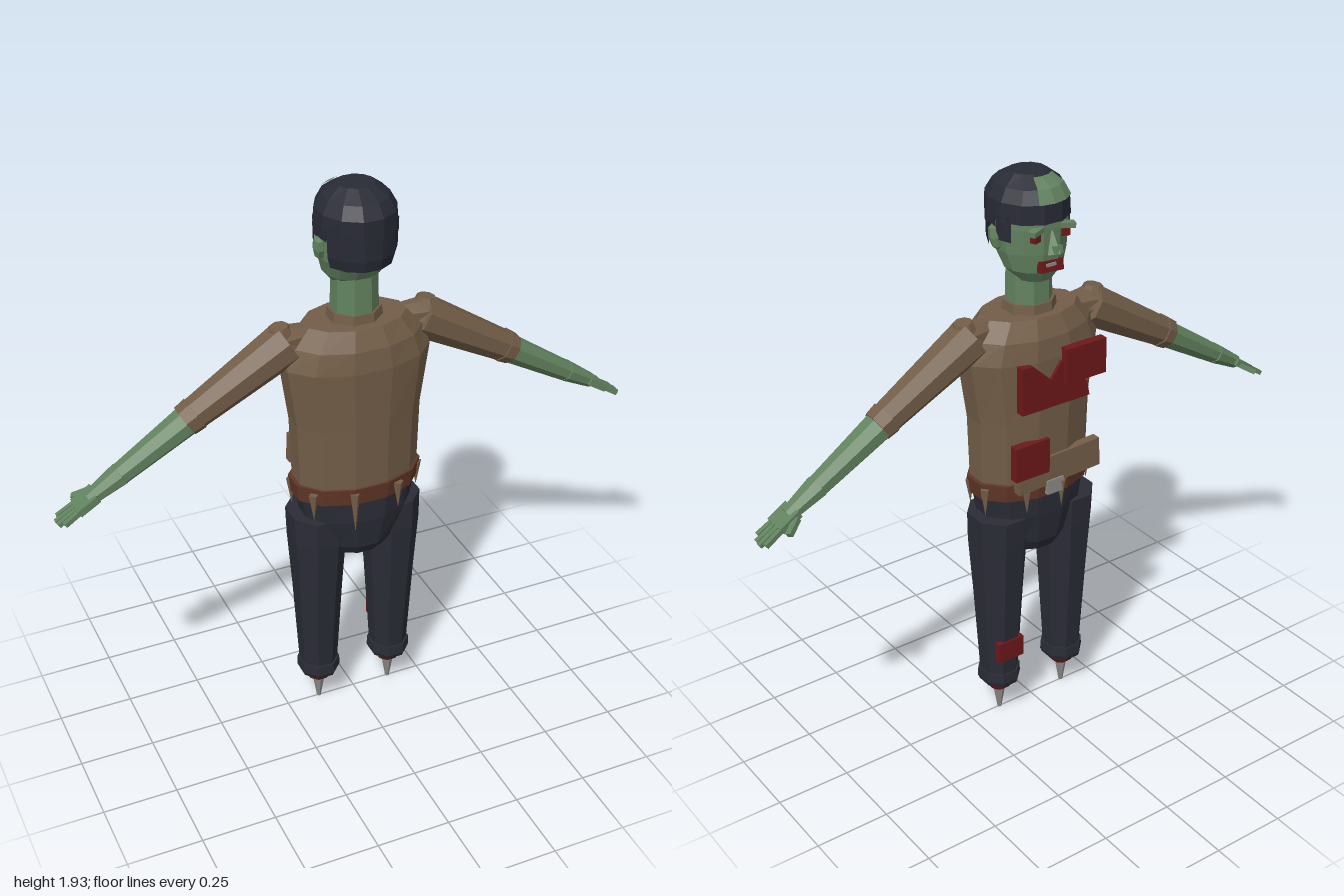
import * as THREE from 'three';

const mat = (name, color, side = THREE.FrontSide) => {
  const m = new THREE.MeshStandardMaterial({ color, side });
  m.name = name;
  return m;
};

export function createModel() {
  const skin = mat('greenSkin', 0x62825f);
  const shirt = mat('brownShirt', 0x725d47);
  const belt = mat('rustBelt', 0x603626);
  const navy = mat('navyTrousers', 0x2a2c36);
  const hairMat = mat('darkHair', 0x282a35, THREE.DoubleSide);
  const red = mat('bloodRed', 0x6c181a);
  const bone = mat('boneGrey', 0x8c8a86);

  const root = new THREE.Group();
  root.name = 'figure';

  // Adds a faceted mesh
  function add(name, geo, material, pos = [0, 0, 0], rot = [0, 0, 0], parent = root) {
    const g = geo.index ? geo.toNonIndexed() : geo;
    g.computeVertexNormals();
    const mesh = new THREE.Mesh(g, material);
    mesh.name = name;
    mesh.position.set(...pos);
    mesh.rotation.set(...rot);
    parent.add(mesh);
    return mesh;
  }
  const box = (w, h, d) => new THREE.BoxGeometry(w, h, d);

  // Skin over elliptical rings [y, halfWidth, zBack, zFront]; angle 0 is +z, PI is -z
  function loft(rings, n = 12, a0 = null, a1 = null) {
    const full = a0 === null;
    const start = full ? Math.PI / n : a0;
    const step = full ? (2 * Math.PI) / n : (a1 - a0) / n;
    const grow = 1 / Math.cos(step / 2);
    const pos = [], idx = [], w = n + 1;
    for (const [y, hw, zb, zf] of rings) {
      for (let i = 0; i <= n; i++) {
        const a = start + i * step;
        pos.push(Math.sin(a) * hw * grow, y, (zb + zf) / 2 + Math.cos(a) * (zb - zf) / 2 * grow);
      }
    }
    for (let r = 0; r < rings.length - 1; r++) {
      for (let i = 0; i < n; i++) {
        const a = r * w + i, b = a + w;
        idx.push(a, a + 1, b + 1, a, b + 1, b);
      }
    }
    if (full) {
      const top = (rings.length - 1) * w;
      for (let i = 1; i < n - 1; i++) idx.push(0, i + 1, i, top, top + i, top + i + 1);
    }
    const g = new THREE.BufferGeometry();
    g.setAttribute('position', new THREE.Float32BufferAttribute(pos, 3));
    g.setIndex(idx);
    return g;
  }

  // Tapered eight-sided limb between two points in the xy plane
  function limb(name, p, q, r0, r1, material, depth = 0.85) {
    const dx = q[0] - p[0], dy = q[1] - p[1];
    const g = new THREE.CylinderGeometry(r1, r0, Math.hypot(dx, dy), 8);
    g.rotateY(Math.PI / 8);
    g.scale(1, 1, depth);
    return add(name, g, material, [(p[0] + q[0]) / 2, (p[1] + q[1]) / 2, 0.004],
      [0, 0, Math.atan2(dy, dx) - Math.PI / 2]);
  }

  // Torso, collar, belt and hips
  add('torso', loft([
    [0.9, 0.203, 0.138, -0.118], [0.94, 0.207, 0.145, -0.122], [1.15, 0.213, 0.15, -0.128],
    [1.36, 0.243, 0.155, -0.13], [1.43, 0.215, 0.145, -0.122], [1.49, 0.165, 0.115, -0.095],
  ]), shirt);
  add('collar', loft([[1.48, 0.085, 0.085, -0.07], [1.52, 0.08, 0.08, -0.065]], 8), shirt);
  add('belt', loft([[0.875, 0.212, 0.142, -0.125], [0.935, 0.219, 0.148, -0.13]]), belt);
  add('hips', loft([
    [0.65, 0.1, 0.1, -0.08], [0.69, 0.127, 0.125, -0.1],
    [0.8, 0.185, 0.138, -0.115], [0.89, 0.203, 0.138, -0.118],
  ]), navy);

  // Torn shirt strips hanging below the belt: [x, z, tip height]
  for (const [x, z, tip] of [[-0.18, 0.095, 0.82], [-0.055, 0.142, 0.77], [0.1, 0.135, 0.82],
    [0.207, 0.046, 0.83], [0.207, -0.04, 0.82], [0.1, -0.12, 0.83], [-0.03, -0.13, 0.82],
    [-0.207, -0.03, 0.82]]) {
    const h = 0.92 - tip;
    add('shirtTatter', new THREE.ConeGeometry(0.018, h, 4), shirt, [x, tip + h / 2, z], [Math.PI, 0, 0]);
  }

  for (const s of [1, -1]) {
    const side = s > 0 ? 'left' : 'right';

    // Leg, trouser cuff, stump and bone spike
    const x = 0.133 * s;
    add(side + 'Leg', loft([
      [0.17, 0.06, 0.062, -0.062], [0.5, 0.077, 0.085, -0.085], [0.7, 0.09, 0.1, -0.1],
      [0.8, 0.092, 0.1, -0.105],
    ], 8), navy, [x, 0, 0]);
    add(side + 'TrouserCuff', loft([[0.13, 0.062, 0.066, -0.066], [0.145, 0.068, 0.072, -0.07],
      [0.18, 0.066, 0.07, -0.068]], 8), navy, [x, 0, 0]);
    add(side + 'Stump', loft([[0.085, 0.022, 0.022, -0.022], [0.1, 0.038, 0.038, -0.038],
      [0.115, 0.045, 0.045, -0.045], [0.135, 0.055, 0.055, -0.055]], 8), red, [x, 0, 0]);
    add(side + 'LegBone', new THREE.CylinderGeometry(0.023, 0.007, 0.1, 6), bone, [x, 0.05, 0]);

    // Shoulder, sleeve, forearm
    add(side + 'Shoulder', new THREE.CylinderGeometry(0.03, 0.055, 0.07, 8), shirt, [0.245 * s, 1.465, 0.004], [0, 0, -0.15 * s]);
    limb(side + 'ShoulderYoke', [0.14 * s, 1.45], [0.27 * s, 1.44], 0.04, 0.06, shirt);
    limb(side + 'Sleeve', [0.225 * s, 1.44], [0.555 * s, 1.247], 0.073, 0.052, shirt, 0.95);
    limb(side + 'SleeveCuff', [0.53 * s, 1.262], [0.565 * s, 1.241], 0.057, 0.053, shirt, 1);
    limb(side + 'Forearm', [0.555 * s, 1.245], [0.8 * s, 1.095], 0.048, 0.034, skin, 1.1);
    limb(side + 'Wrist', [0.78 * s, 1.108], [0.885 * s, 1.045], 0.036, 0.024, skin, 1.25);

    // Hand with four fingers and a thumb
    const hand = new THREE.Group();
    hand.name = side + 'Hand';
    hand.position.set(0.87 * s, 1.055, 0);
    hand.rotation.z = -0.55 * s;
    root.add(hand);
    add('palm', box(0.075, 0.024, 0.08), skin, [0.03 * s, 0, 0.003], [0, 0, 0], hand);
    for (let i = 0; i < 4; i++) {
      const len = [0.068, 0.08, 0.077, 0.06][i];
      add('finger', box(len, 0.015, 0.016), skin, [(0.063 + len / 2) * s, -0.001, -0.027 + i * 0.02],
        [0, s * (0.06 - i * 0.04), 0], hand);
    }
    add('thumb', box(0.06, 0.017, 0.02), skin, [0.035 * s, -0.004, -0.05], [0, 0.5 * s, 0], hand);

    // Ear, eye and brow
    const ear = new THREE.SphereGeometry(1, 6, 4);
    ear.scale(0.018, 0.042, 0.028);
    add(side + 'Ear', ear, skin, [0.12 * s, 1.742, 0.015], [0.2, 0, -0.1 * s]);
    add(side + 'Eye', box(0.038, 0.022, 0.02), red, [0.05 * s, 1.757, -0.1], [0, 0.35 * s, 0]);
    add(side + 'Brow', box(0.062, 0.016, 0.028), skin, [0.052 * s, 1.782, -0.105], [0, 0.35 * s, -0.1 * s]);
  }

  // Neck, head and face
  add('neck', loft([[1.47, 0.072, 0.077, -0.06], [1.64, 0.068, 0.074, -0.056]], 8), skin);
  add('head', loft([
    [1.6, 0.055, 0.035, -0.075], [1.64, 0.09, 0.075, -0.1], [1.7, 0.108, 0.115, -0.108],
    [1.78, 0.115, 0.125, -0.112], [1.86, 0.11, 0.125, -0.108], [1.91, 0.06, 0.07, -0.05],
  ]), skin);
  const nose = new THREE.ConeGeometry(0.028, 0.08, 4);
  add('nose', nose, skin, [0, 1.745, -0.118], [0.25, 0, 0]);
  add('noseTip', box(0.028, 0.024, 0.045), skin, [0, 1.72, -0.125], [0.2, 0, 0]);
  add('mouth', box(0.085, 0.035, 0.02), red, [0, 1.66, -0.103], [0.15, 0, 0.06]);
  add('teeth', box(0.035, 0.01, 0.008), bone, [0.005, 1.667, -0.112]);

  // Hair cap, with back, sides and sideburns reaching lower
  add('hairCap', loft([
    [1.8, 0.125, 0.15, -0.118], [1.86, 0.121, 0.15, -0.116],
    [1.9, 0.1, 0.125, -0.094], [1.932, 0.058, 0.07, -0.04],
  ]), hairMat);
  add('hairBack', loft([[1.695, 0.112, 0.143, -0.112], [1.73, 0.122, 0.15, -0.118],
    [1.82, 0.125, 0.15, -0.118]], 5, -1.16, 1.16), hairMat);
  for (const s of [1, -1]) {
    const strip = (y, a, b) => loft([[y, 0.124, 0.15, -0.118], [1.82, 0.125, 0.15, -0.118]], 1,
      s > 0 ? a : -b, s > 0 ? b : -a);
    add('hairSide', strip(1.78, 1.16, 1.69), hairMat);
    add('sideburn', strip(1.74, 1.69, 2.1), hairMat);
  }
  add('baldPatch', loft([[1.862, 0.125, 0.15, -0.121], [1.902, 0.103, 0.125, -0.099],
    [1.928, 0.07, 0.075, -0.056]], 3, 2.75, 3.95), skin);

  // Wounds on the chest, belly and shin
  const tear = new THREE.Shape([[0.13, 1.36], [0.09, 1.36], [0.02, 1.295], [-0.02, 1.35], [-0.12, 1.25],
    [-0.13, 1.2], [0.13, 1.2]].map(([x, y]) => new THREE.Vector2(x, y)));
  add('chestWound', new THREE.ExtrudeGeometry(tear, { depth: 0.03, bevelEnabled: false }), red, [0, 0, -0.14]);
  add('upperWound', box(0.155, 0.12, 0.03), red, [-0.105, 1.33, -0.14]);
  add('bellyWound', box(0.13, 0.12, 0.03), red, [0.09, 1.03, -0.125]);
  add('shinWound', box(0.1, 0.075, 0.025), red, [0.135, 0.285, -0.066]);

  // Loose shirt flap and belt buckle
  add('shirtFlap', box(0.32, 0.1, 0.03), shirt, [-0.02, 0.97, -0.119], [0, 0, -0.04]);
  add('buckle', box(0.065, 0.05, 0.02), bone, [0, 0.91, -0.13]);

  return root;
}
